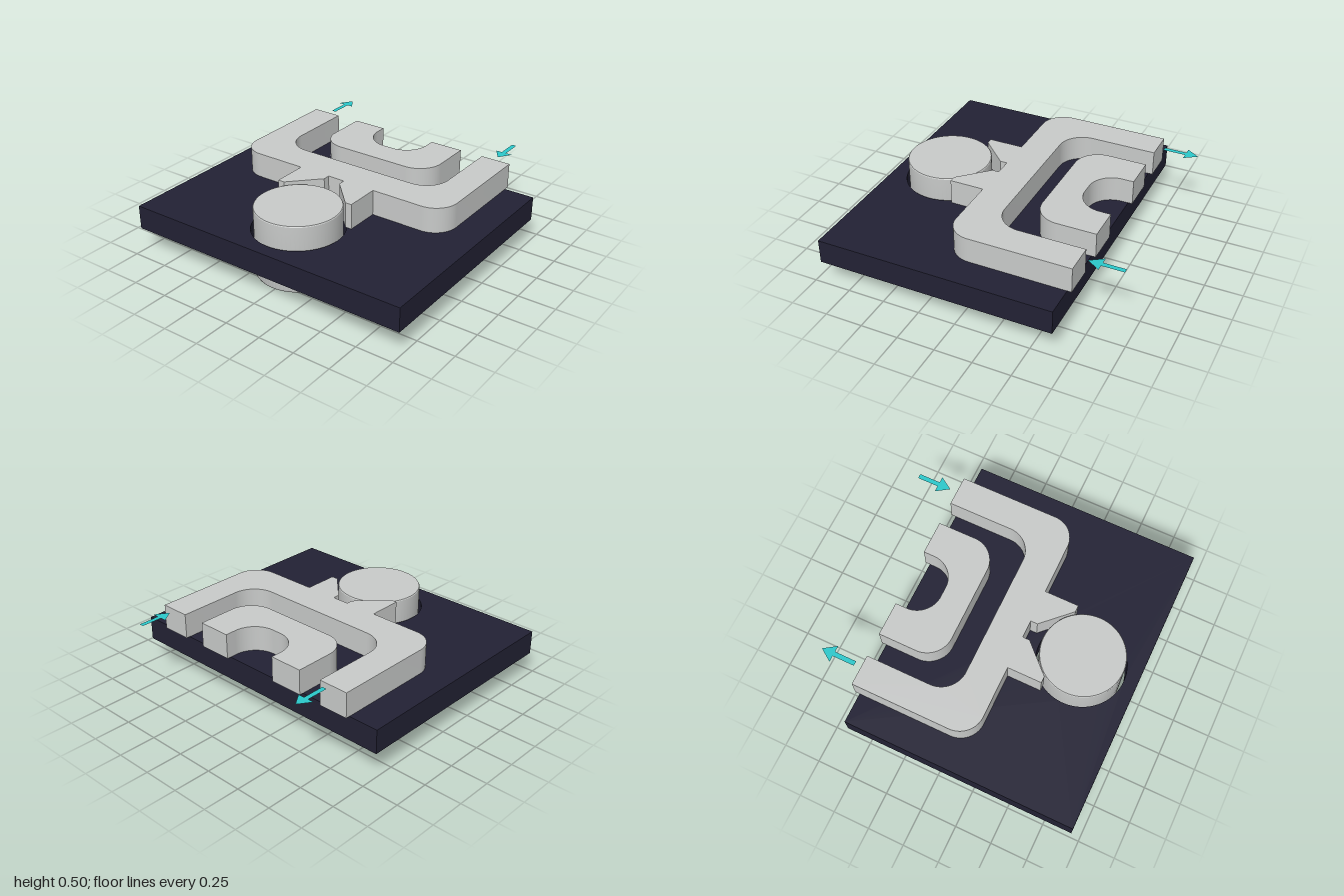
import * as THREE from 'three';
import { toCreasedNormals } from 'three/addons/utils/BufferGeometryUtils.js';

const mat = (name, color) => {
  const m = new THREE.MeshStandardMaterial({ color });
  m.name = name;
  return m;
};

// Plan outline drawn in (x, -z), raised from y0 to y1
function slab(shape, y0, y1) {
  const g = new THREE.ExtrudeGeometry(shape, { depth: y1 - y0, bevelEnabled: false, curveSegments: 32 });
  g.rotateX(-Math.PI / 2).translate(0, y0, 0);
  return toCreasedNormals(g, 0.6);
}

const outline = (points) => new THREE.Shape(points.map(([x, z]) => new THREE.Vector2(x, -z)));

// U open to the back, with rounded outer and inner corners
function uShape(xOut, zOut, rOut, xIn, zIn, rIn, zBack) {
  const s = new THREE.Shape();
  const yo = -zOut, yi = -zIn, q = Math.PI / 2;
  s.moveTo(-xOut, -zBack);
  s.lineTo(-xOut, yo + rOut);
  s.absarc(-xOut + rOut, yo + rOut, rOut, Math.PI, 3 * q, false);
  s.absarc(xOut - rOut, yo + rOut, rOut, -q, 0, false);
  s.lineTo(xOut, -zBack);
  s.lineTo(xIn, -zBack);
  s.absarc(xIn - rIn, yi + rIn, rIn, 0, -q, true);
  s.absarc(-xIn + rIn, yi + rIn, rIn, 3 * q, Math.PI, true);
  s.lineTo(-xIn, -zBack);
  s.closePath();
  return s;
}

export function createModel() {
  const group = new THREE.Group();
  const navy = mat('navy plate', 0x222134);
  const grey = mat('light grey', 0xc8cac9);
  const teal = mat('teal', 0x2bc8cb);
  teal.side = THREE.DoubleSide;

  const add = (name, geometry, material) => {
    const mesh = new THREE.Mesh(geometry, material);
    mesh.name = name;
    group.add(mesh);
    return mesh;
  };

  const discZ = 0.555, bottom = 0.33, top = 0.5;

  // Base plate with a clearance hole for the disc
  const plate = outline([[-1, 0.94], [1, 0.94], [1, -0.64], [-1, -0.64]]);
  const hole = new THREE.Path();
  hole.absarc(0, -discZ, 0.297, 0, Math.PI * 2, true);
  plate.holes.push(hole);
  add('basePlate', slab(plate, 0.165, 0.327), navy);

  // Disc through the plate, with a shallow domed underside
  const profile = [[0, 0], [0.1, 0.002], [0.19, 0.008], [0.262, 0.016], [0.272, 0.021], [0.278, 0.032],
    [0.278, 0.474], [0.274, 0.48], [0, 0.48]].map(([r, y]) => new THREE.Vector2(r, y));
  const disc = toCreasedNormals(new THREE.LatheGeometry(profile, 64), 0.5);
  add('disc', disc, grey).position.z = discZ;

  // Nested channels
  add('outerChannel', slab(uShape(0.797, 0.163, 0.16, 0.592, -0.06, 0.17, -0.67), bottom, top), grey);
  add('innerChannel', slab(uShape(0.43, -0.24, 0.17, 0.2, -0.43, 0.165, -0.67), bottom, top), grey);

  // Mirrored wedges between channel and disc
  for (const [name, s] of [['leftWedge', 1], ['rightWedge', -1]]) {
    const pts = [[0.06, 0.15], [0.06, 0.21], [0.24, 0.395], [0.285, 0.395], [0.285, 0.15]];
    add(name, slab(outline(pts.map(([x, z]) => [s * x, z])), bottom, top), grey);
  }

  // Flat flow arrows: one pointing to the back, one to the front
  for (const [name, x, tail, neck, tip] of [
    ['outflowArrow', -0.67, -0.715, -0.865, -0.95],
    ['inflowArrow', 0.685, -0.95, -0.805, -0.718],
  ]) {
    const arrow = new THREE.ShapeGeometry(outline([
      [x - 0.016, tail], [x + 0.016, tail], [x + 0.016, neck], [x + 0.058, neck],
      [x, tip], [x - 0.058, neck], [x - 0.016, neck],
    ]));
    arrow.rotateX(-Math.PI / 2).translate(0, top, 0);
    add(name, arrow, teal);
  }
  return group;
}
